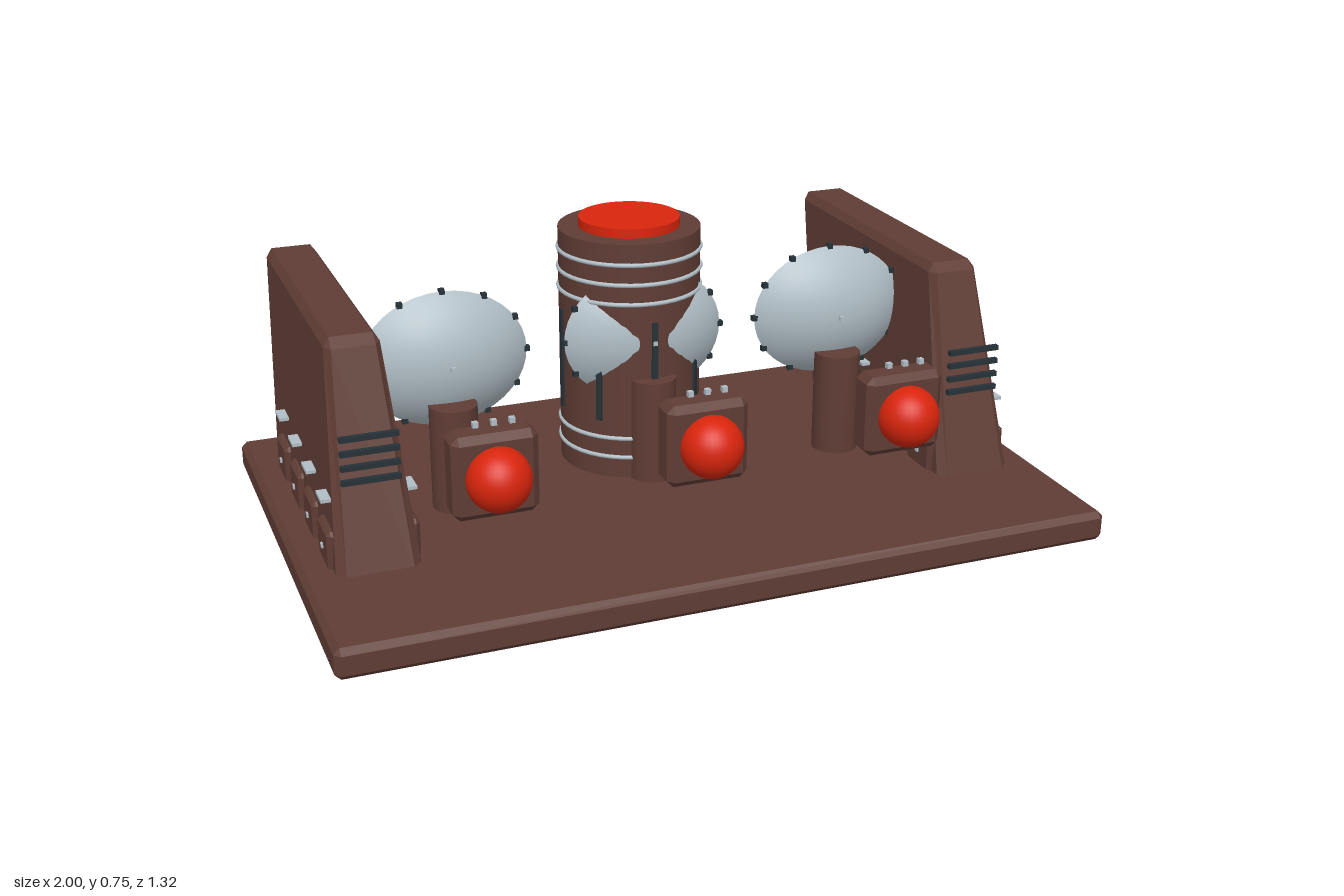
import * as THREE from 'three';
import { ConvexGeometry } from 'three/addons/geometries/ConvexGeometry.js';

const mat = (name, color, side = THREE.FrontSide) => {
  const m = new THREE.MeshStandardMaterial({ color, side });
  m.name = name;
  return m;
};

// Box with every edge cut at 45 degrees
function chamferBox(w, h, d, b) {
  const pts = [], x = w / 2, y = h / 2, z = d / 2;
  for (const i of [-1, 1]) for (const j of [-1, 1]) for (const k of [-1, 1]) {
    pts.push(new THREE.Vector3(i * x, j * (y - b), k * (z - b)));
    pts.push(new THREE.Vector3(i * (x - b), j * y, k * (z - b)));
    pts.push(new THREE.Vector3(i * (x - b), j * (y - b), k * z));
  }
  return new ConvexGeometry(pts);
}

// Leaning slab: thinner towards the top, sheared towards the back
function finGeometry() {
  const g = chamferBox(0.21, 0.58, 0.81, 0.022), p = g.attributes.position;
  for (let i = 0; i < p.count; i++) {
    const y = p.getY(i) + 0.33, t = (y - 0.08) / 0.54;
    p.setXYZ(i, p.getX(i) * (1 - 0.36 * t), y, p.getZ(i) - 0.085 - 0.175 * t);
  }
  g.computeVertexNormals();
  return g;
}

export function createModel() {
  const root = new THREE.Group();
  root.name = 'model';
  const brown = mat('brown', 0x603d35);
  const red = mat('red', 0xd8250c);
  const steel = mat('steel', 0xb0bec5, THREE.DoubleSide);
  const dark = mat('dark', 0x263238);

  const add = (parent, name, geo, material, x = 0, y = 0, z = 0) => {
    const m = new THREE.Mesh(geo, material);
    m.name = name;
    m.position.set(x, y, z);
    parent.add(m);
    return m;
  };
  const group = (name, x, y, z) => {
    const g = new THREE.Group();
    g.name = name;
    g.position.set(x, y, z);
    root.add(g);
    return g;
  };
  const box = (w, h, d) => new THREE.BoxGeometry(w, h, d);

  // Base slab
  add(root, 'base', chamferBox(2, 0.08, 1.27, 0.015), brown, 0, 0.04, 0.025);

  // Side fins with panels, vents and front grille bars
  const fin = finGeometry();
  const panel = chamferBox(0.23, 0.115, 0.122, 0.01);
  for (const s of [-1, 1]) {
    const g = group(s > 0 ? 'leftFin' : 'rightFin', s * 0.815, 0, 0);
    add(g, 'finSlab', fin, brown);
    for (const z of [0.205, 0.023, -0.158, -0.34]) {
      add(g, 'panel', panel, brown, 0, 0.118, z);
      for (const side of [-1, 1]) {
        add(g, 'panelKnob', box(0.01, 0.012, 0.012), steel, side * 0.115, 0.12, z);
        add(g, 'vent', box(0.03, 0.009, 0.062), steel, side * 0.103, 0.248, z);
      }
    }
    for (let i = 0; i < 4; i++)
      add(g, 'grilleBar', box(0.145, 0.013, 0.014), dark, 0, 0.303 + i * 0.037, 0.27);
  }

  // Central tower with cap, rings and slots
  const tower = group('tower', 0, 0, -0.16);
  add(tower, 'towerBody', new THREE.CylinderGeometry(0.19, 0.19, 0.65, 40), brown, 0, 0.405, 0);
  add(tower, 'towerCap', new THREE.CylinderGeometry(0.135, 0.135, 0.03, 40), red, 0, 0.74, 0);
  const ring = new THREE.TorusGeometry(0.19, 0.006, 8, 40).rotateX(Math.PI / 2);
  for (const y of [0.138, 0.192, 0.567, 0.62, 0.674])
    add(tower, 'ring', ring, steel, 0, y, 0);
  for (let i = 0; i < 8; i++) {
    const a = i * Math.PI / 4;
    add(tower, 'slot', box(0.016, 0.275, 0.012), dark, Math.sin(a) * 0.19, 0.378, Math.cos(a) * 0.19)
      .rotation.y = a;
  }

  // Three stations: dish on a post with a lamp in front
  const R = 0.327, rim = 0.22, depth = 0.085;
  const dish = new THREE.SphereGeometry(R, 40, 10, 0, Math.PI * 2, 0, Math.asin(rim / R))
    .rotateX(Math.PI / 2).translate(0, 0, -R).scale(1, 0.82, 1);
  const post = new THREE.CylinderGeometry(0.0625, 0.0625, 0.28, 24);
  const lampBox = chamferBox(0.215, 0.215, 0.09, 0.018);
  const lamp = new THREE.SphereGeometry(0.08, 32, 20);
  for (const x of [-0.543, 0, 0.543]) {
    const d = group('dishUnit', x, 0.459, 0.028);
    add(d, 'dish', dish, steel);
    add(d, 'dishTip', box(0.012, 0.012, 0.012), steel, 0, 0, 0.003);
    for (let i = 0; i < 12; i++) {
      const a = i * Math.PI / 6;
      add(d, 'rimBolt', box(0.014, 0.014, 0.016), dark,
        Math.cos(a) * rim, Math.sin(a) * rim * 0.82, -depth);
    }
    add(d, 'post', post, brown, 0, -0.239, -0.015);

    const l = group('lampUnit', x, 0.322, 0.363);
    add(l, 'lampHousing', lampBox, brown);
    add(l, 'lamp', lamp, red, 0, 0, 0.057);
    for (const i of [-1, 0, 1])
      add(l, 'indicator', box(0.014, 0.014, 0.014), steel, i * 0.045, 0.134, 0.025);
  }
  return root;
}
